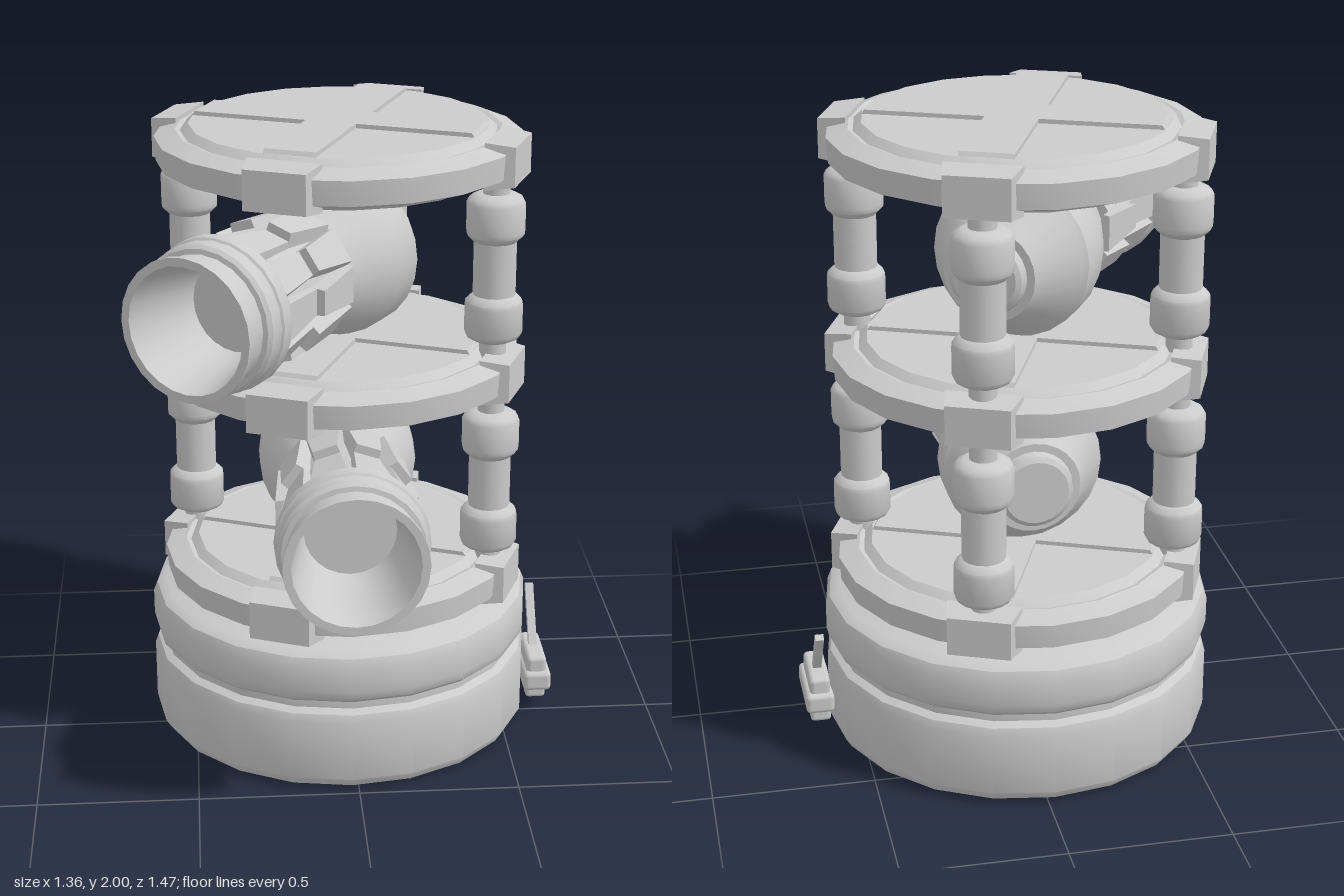
import * as THREE from 'three';
import { toCreasedNormals } from 'three/addons/utils/BufferGeometryUtils.js';
import { RoundedBoxGeometry } from 'three/addons/geometries/RoundedBoxGeometry.js';

const grey = new THREE.MeshStandardMaterial({ color: 0xcccccc });
const CX = -0.02, CZ = -0.124;      // axis of the tower
const TWIST = Math.PI / 8;          // turn of the crosses, clips and pillars

function add(parent, name, geometry, x = 0, y = 0, z = 0) {
  const mesh = new THREE.Mesh(geometry, grey);
  mesh.name = name;
  mesh.position.set(x, y, z);
  parent.add(mesh);
  return mesh;
}

// Revolved profile of [radius, height] pairs, listed from bottom to top
function lathe(points, sides, crease = 0.5) {
  const g = new THREE.LatheGeometry(points.map(p => new THREE.Vector2(...p)), sides);
  return toCreasedNormals(g, crease);
}

// Cross whose arm ends slope in towards both faces
function crossGeometry(len, w, h) {
  const c = [[w, w], [w, len], [-w, len], [-w, w], [-len, w], [-len, -w],
    [-w, -w], [-w, -len], [w, -len], [w, -w], [len, -w], [len, w]];
  const shape = new THREE.Shape(c.map(p => new THREE.Vector2(...p)));
  const g = new THREE.ExtrudeGeometry(shape, { depth: 2 * h, steps: 2, bevelEnabled: false });
  g.translate(0, 0, -h);
  const p = g.attributes.position;
  for (let i = 0; i < p.count; i++) {
    if (Math.abs(p.getZ(i)) < h / 2) continue;
    if (Math.abs(p.getX(i)) > len * 0.9) p.setX(i, p.getX(i) * 0.88);
    if (Math.abs(p.getY(i)) > len * 0.9) p.setY(i, p.getY(i) * 0.88);
  }
  g.rotateX(Math.PI / 2);
  return toCreasedNormals(g, 0.3);
}

// Box whose outer face (+z) is smaller than its inner face
function taperedBox(w, h, d, k) {
  const g = new THREE.BoxGeometry(w, h, d);
  const p = g.attributes.position;
  for (let i = 0; i < p.count; i++)
    if (p.getZ(i) > 0) p.setXY(i, p.getX(i) * k, p.getY(i) * k);
  return toCreasedNormals(g, 0.2);
}

// Plate lying along z between two distances, with its own width and radius at each end
function barrelPlate(z0, z1, w0, w1, r0, r1, thick) {
  const g = new THREE.BoxGeometry(1, 1, 1);
  const p = g.attributes.position;
  for (let i = 0; i < p.count; i++) {
    const front = p.getZ(i) > 0;
    const outer = p.getY(i) > 0;
    p.setXYZ(i, p.getX(i) * (front ? w1 : w0) * (outer ? 0.9 : 1),
      (front ? r1 : r0) - (outer ? 0 : thick), front ? z1 : z0);
  }
  return toCreasedNormals(g, 0.2);
}

function createDeck() {
  const deck = new THREE.Group();
  deck.name = 'deck';
  add(deck, 'deckDisc', lathe([[0, -0.077], [0.46, -0.077], [0.485, -0.055], [0.5, -0.06],
    [0.56, -0.038], [0.565, 0.038], [0.5, 0.06], [0.485, 0.055], [0.46, 0.077], [0, 0.077]], 20, 0.4));
  add(deck, 'deckCross', crossGeometry(0.5, 0.08, 0.09)).rotation.y = -TWIST;
  for (let i = 0; i < 4; i++) {
    const arm = new THREE.Group();
    arm.rotation.y = -TWIST + i * Math.PI / 2;
    add(arm, 'rimClip', taperedBox(0.23, 0.145, 0.09, 0.84), 0, 0, 0.535);
    deck.add(arm);
  }
  return deck;
}

function createPillar() {
  const pillar = new THREE.Group();
  pillar.name = 'pillar';
  add(pillar, 'rod', new THREE.CylinderGeometry(0.042, 0.042, 0.6, 12));
  add(pillar, 'sleeve', new THREE.CylinderGeometry(0.066, 0.066, 0.3, 14));
  const bead = [[0.04, 0.075], [0.068, 0.085], [0.088, 0.105], [0.09, 0.12],
    [0.09, 0.205], [0.082, 0.22], [0.06, 0.232], [0.04, 0.234]];
  add(pillar, 'upperBead', lathe(bead, 14, 0.7));
  add(pillar, 'lowerBead', lathe(bead, 14, 0.7)).rotation.x = Math.PI;
  return pillar;
}

// Lamp pointing along +z from the tower axis
function createLamp() {
  const lamp = new THREE.Group();
  lamp.name = 'lamp';
  const body = lathe([[0, -0.275], [0.1, -0.275], [0.115, -0.265], [0.12, -0.235], [0.145, -0.235],
    [0.155, -0.22], [0.235, -0.08], [0.25, -0.065], [0.25, 0.04], [0.238, 0.09], [0.21, 0.17],
    [0.185, 0.22], [0.175, 0.26], [0.175, 0.44], [0.2, 0.64], [0.222, 0.645], [0.232, 0.66],
    [0.232, 0.70], [0.225, 0.705], [0.225, 0.75], [0.215, 0.762], [0.2, 0.765], [0.204, 0.84],
    [0.215, 0.845], [0.215, 0.86], [0.19, 0.86], [0.175, 0.78], [0.15, 0.64], [0.14, 0.6], [0, 0.6]], 24, 0.45);
  body.rotateX(Math.PI / 2);
  add(lamp, 'lampBody', body);
  const count = 10;
  for (let i = 0; i < count; i++) {
    const a = (i + 0.5) * 2 * Math.PI / count;
    add(lamp, 'rearFlap', barrelPlate(0.25, 0.45, 0.125, 0.085, 0.2, 0.218, 0.05)).rotation.z = a;
    add(lamp, 'frontFlap', barrelPlate(0.43, 0.65, 0.085, 0.125, 0.188, 0.218, 0.03)).rotation.z = a;
  }
  return lamp;
}

function createSwitch() {
  const box = new THREE.Group();
  box.name = 'leverSwitch';
  add(box, 'switchFlange', new RoundedBoxGeometry(0.09, 0.065, 0.235, 2, 0.015), 0.628, 0.112, -0.09);
  add(box, 'switchTop', new RoundedBoxGeometry(0.065, 0.07, 0.2, 2, 0.015), 0.626, 0.16, -0.09);
  add(box, 'switchFoot', new RoundedBoxGeometry(0.065, 0.07, 0.185, 2, 0.012), 0.626, 0.075, -0.095);
  add(box, 'lever', new THREE.BoxGeometry(0.027, 0.23, 0.022), 0.626, 0.267, -0.15).rotation.x = -0.61;
  return box;
}

export function createModel() {
  const model = new THREE.Group();
  const tower = new THREE.Group();
  tower.name = 'tower';
  tower.position.set(CX, 0, CZ);
  model.add(tower);

  // Drum base with a groove between two rounded bands
  add(tower, 'base', lathe([[0, 0], [0.56, 0], [0.595, 0.012], [0.612, 0.04], [0.612, 0.235], [0.602, 0.262],
    [0.585, 0.272], [0.58, 0.275], [0.58, 0.3], [0.59, 0.303], [0.606, 0.318], [0.612, 0.345],
    [0.612, 0.425], [0.6, 0.455], [0.57, 0.474], [0, 0.474]], 20, 0.6));

  for (const y of [0.55, 1.23, 1.91]) {
    const deck = createDeck();
    deck.position.y = y;
    tower.add(deck);
  }

  // Three pillars per storey; the front arm stays open for the lamps
  for (const y of [0.87, 1.57])
    for (let i = 1; i < 4; i++) {
      const a = -TWIST + i * Math.PI / 2;
      const pillar = createPillar();
      pillar.position.set(0.5 * Math.sin(a), y, 0.5 * Math.cos(a));
      tower.add(pillar);
    }

  for (const [y, turn] of [[0.885, 0], [1.565, -0.585]]) {
    const lamp = createLamp();
    lamp.position.set(-0.008, y, 0);
    lamp.rotation.y = turn;
    tower.add(lamp);
  }

  model.add(createSwitch());
  return model;
}
